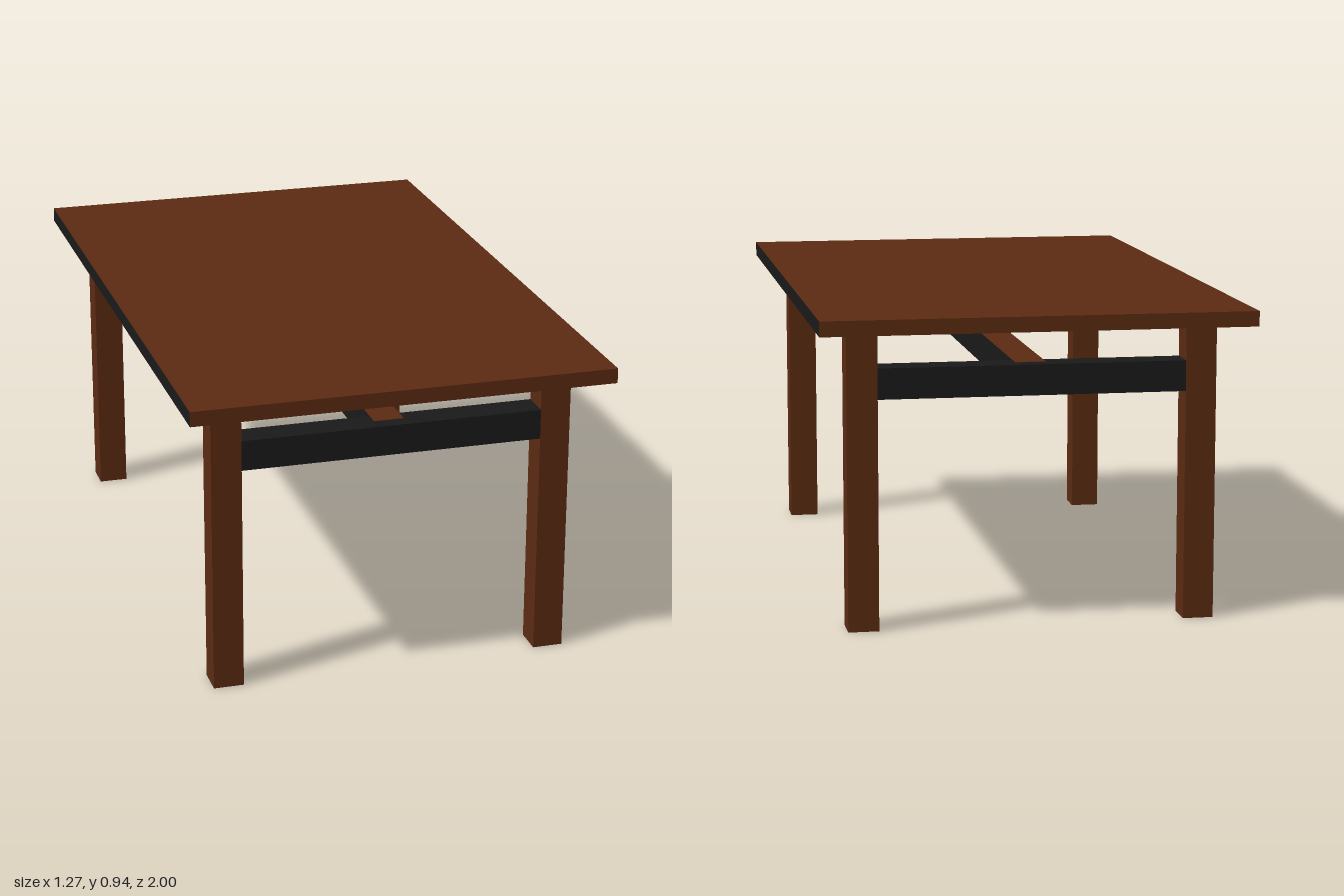
import * as THREE from 'three';

export function createModel() {
  const table = new THREE.Group();
  table.name = 'table';

  const wood = new THREE.MeshStandardMaterial({ color: 0x5c2b12 });
  const black = new THREE.MeshStandardMaterial({ color: 0x1a1a1a });
  // Wood with black long sides; order of box faces is +x, -x, +y, -y, +z, -z
  const blackSided = [black, black, wood, wood, wood, wood];

  function addBox(name, size, position, material) {
    const mesh = new THREE.Mesh(new THREE.BoxGeometry(...size), material);
    mesh.name = name;
    mesh.position.set(...position);
    table.add(mesh);
  }

  const height = 0.935, topThickness = 0.045;
  const legHeight = height - topThickness;
  const beam = 0.091; // square section shared by legs, rails and stretcher
  const legX = 0.5, legZ = 0.819, railY = 0.73;

  // Tabletop
  addBox('tabletop', [1.272, topThickness, 2], [0, height - topThickness / 2, 0], blackSided);

  for (const z of [1, -1]) {
    const end = z > 0 ? 'front' : 'back';
    // Legs
    for (const x of [1, -1]) {
      addBox(end + (x > 0 ? 'Left' : 'Right') + 'Leg',
        [beam, legHeight, beam], [x * legX, legHeight / 2, z * legZ], wood);
    }
    // End rail between the two legs
    addBox(end + 'Rail', [2 * legX - beam, beam, beam], [0, railY, z * legZ], black);
  }

  // Long stretcher let halfway into both rails, a hair taller so its faces show
  addBox('stretcher', [beam, beam + 0.002, 2 * legZ], [0, railY, 0], blackSided);

  return table;
}
